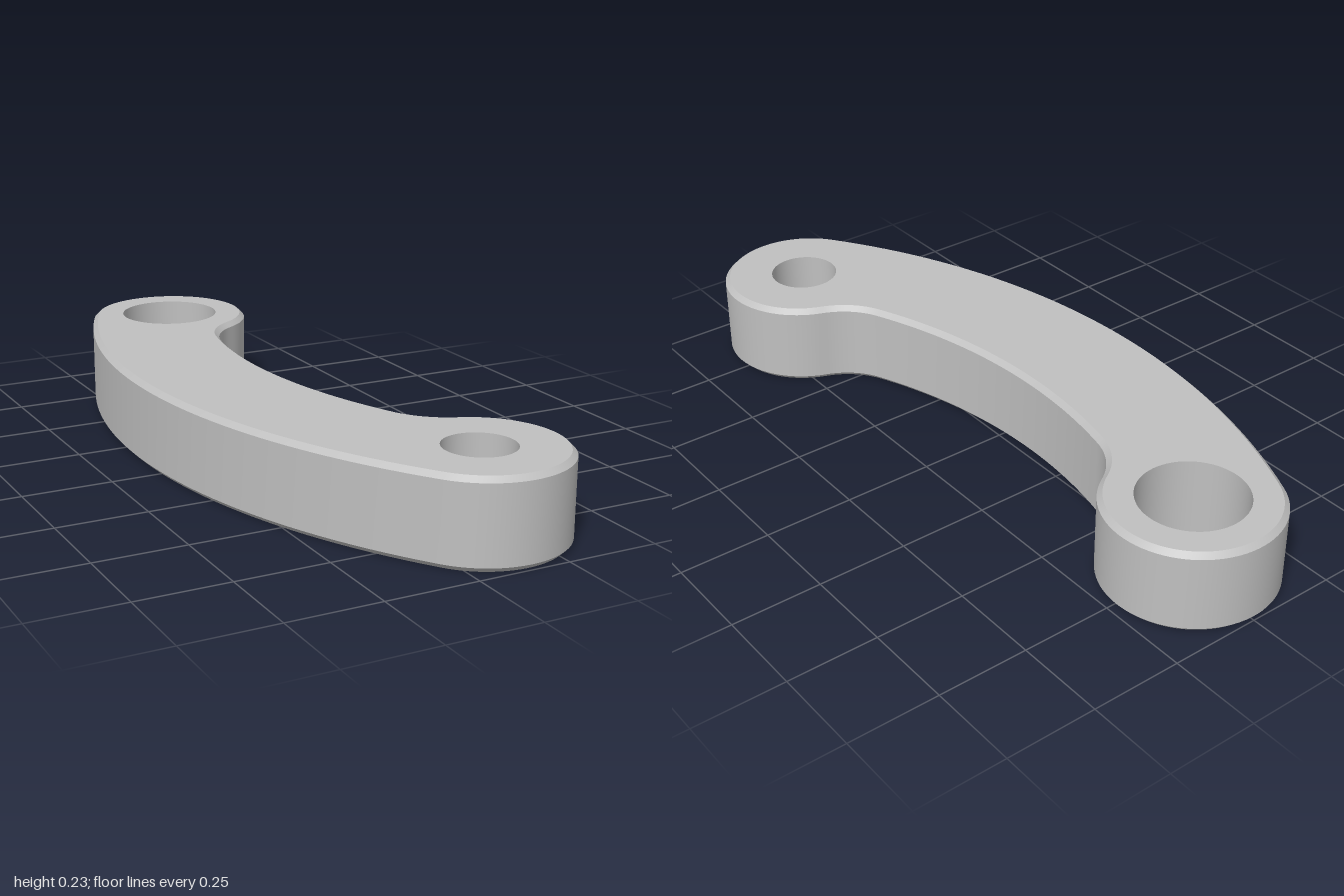
import * as THREE from 'three';

const HEIGHT = 0.235, CHAMFER = 0.014, SEGMENTS = 64;
const END_R = 0.233, FILLET_R = 0.2;
const OUTER_R = 1.758, INNER_R = 1.395;

// Plan positions as (x, z)
const backEnd = new THREE.Vector2(0, -0.767);
const frontEnd = new THREE.Vector2(0.143, 0.767);
const bend = new THREE.Vector2(1.382, -0.122);

const angle = (from, to) => Math.atan2(to.y - from.y, to.x - from.x);

// Centre of the fillet that joins an end circle to the inner curve
function filletCentre(end, side) {
  const a = END_R + FILLET_R, o = INNER_R - FILLET_R, d = end.distanceTo(bend);
  const turn = Math.acos((d * d + a * a - o * o) / (2 * d * a));
  const t = angle(end, bend) + side * turn;
  return new THREE.Vector2(end.x + a * Math.cos(t), end.y + a * Math.sin(t));
}

// Points along an arc; dir is +1 for increasing angle; the last point is left out
function arc(c, r, from, to, dir, n) {
  const full = Math.PI * 2;
  const sweep = dir * ((((to - from) * dir) % full + full) % full);
  return Array.from({ length: n }, (_, i) => {
    const t = from + sweep * i / n;
    return new THREE.Vector2(c.x + r * Math.cos(t), c.y + r * Math.sin(t));
  });
}

// Closed plan outline, moved inwards by inset
function outline(inset) {
  const f1 = filletCentre(backEnd, 1), f2 = filletCentre(frontEnd, -1);
  return [
    ...arc(backEnd, END_R - inset, angle(bend, backEnd), angle(backEnd, f1), 1, 48),
    ...arc(f1, FILLET_R + inset, angle(f1, backEnd), angle(bend, f1), -1, 16),
    ...arc(bend, INNER_R + inset, angle(bend, f1), angle(bend, f2), -1, 32),
    ...arc(f2, FILLET_R + inset, angle(bend, f2), angle(f2, frontEnd), -1, 16),
    ...arc(frontEnd, END_R - inset, angle(f2, frontEnd) + Math.PI, angle(bend, frontEnd), 1, 48),
    ...arc(bend, OUTER_R - inset, angle(bend, frontEnd), angle(bend, backEnd), 1, 40),
  ];
}

// Smooth strip between two outlines at different heights
function band(inset0, y0, inset1, y1) {
  const low = outline(inset0), high = outline(inset1), n = low.length;
  const positions = [], index = [];
  low.forEach((p) => positions.push(p.x, y0, p.y));
  high.forEach((p) => positions.push(p.x, y1, p.y));
  for (let i = 0; i < n; i++) {
    const j = (i + 1) % n;
    index.push(i, n + i, j, j, n + i, n + j);
  }
  const g = new THREE.BufferGeometry();
  g.setAttribute('position', new THREE.Float32BufferAttribute(positions, 3));
  g.setIndex(index);
  g.computeVertexNormals();
  return g;
}

// Flat face with two round openings; up is +1 for the top, -1 for the bottom
function face(y, up, backHole, frontHole) {
  const flip = (pts) => pts.map((p) => new THREE.Vector2(p.x, -up * p.y));
  const hole = (c, r) => new THREE.Path(flip(arc(c, r, 0, -1e-9, 1, SEGMENTS)));
  const shape = new THREE.Shape(flip(outline(CHAMFER)));
  shape.holes.push(hole(backEnd, backHole), hole(frontEnd, frontHole));
  return new THREE.ShapeGeometry(shape).rotateX(-up * Math.PI / 2).translate(0, y, 0);
}

// Inward-facing ring surface, from the upper profile point to the lower one
function ring(c, r0, y0, r1, y1) {
  const profile = [new THREE.Vector2(r0, y0), new THREE.Vector2(r1, y1)];
  return new THREE.LatheGeometry(profile, SEGMENTS).translate(c.x, 0, c.y);
}

export function createModel() {
  const model = new THREE.Group();
  model.name = 'curvedLinkArm';
  const metal = new THREE.MeshStandardMaterial({ color: 0xc0c0c0 });
  metal.name = 'greyMetal';
  const add = (name, geometry) => {
    const mesh = new THREE.Mesh(geometry, metal);
    mesh.name = name;
    model.add(mesh);
  };

  const boreR = 0.144, pinR = 0.077, counterboreR = 0.095, stepY = 0.038;

  // Arm body
  add('lowerChamfer', band(CHAMFER, 0, 0, CHAMFER));
  add('sideWall', band(0, CHAMFER, 0, HEIGHT - CHAMFER));
  add('upperChamfer', band(0, HEIGHT - CHAMFER, CHAMFER, HEIGHT));
  add('topFace', face(HEIGHT, 1, boreR, counterboreR));
  add('bottomFace', face(0, -1, boreR, pinR));

  // Large plain bore, and small bore with a wider counterbore above it
  add('largeBore', ring(backEnd, boreR, HEIGHT, boreR, 0));
  add('counterbore', ring(frontEnd, counterboreR, HEIGHT, counterboreR, stepY));
  add('counterboreStep', ring(frontEnd, counterboreR, stepY, pinR, stepY));
  add('smallBore', ring(frontEnd, pinR, stepY, pinR, 0));
  return model;
}
